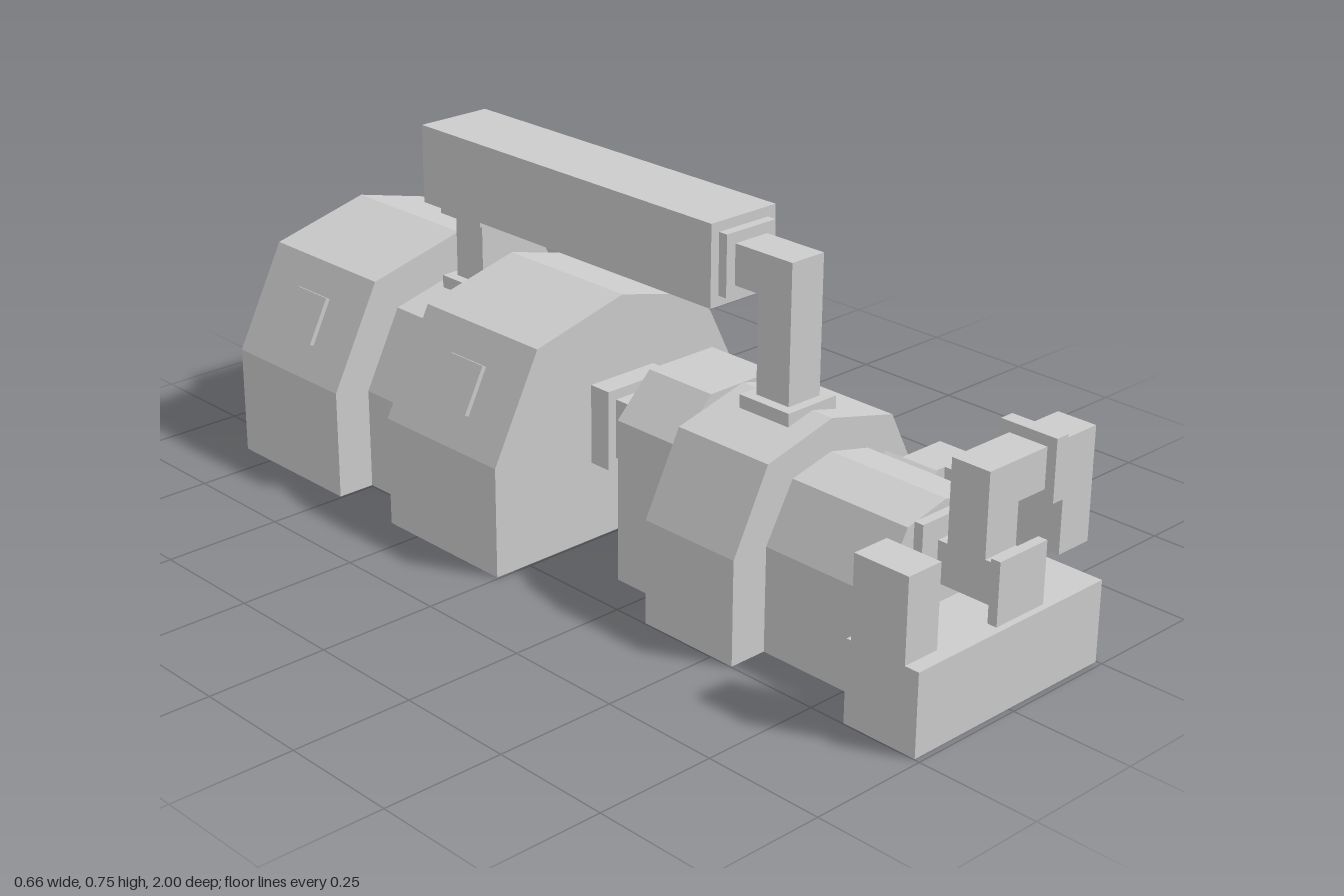
import * as THREE from 'three';

const material = new THREE.MeshStandardMaterial({ color: 0xcccccc, flatShading: true });

export function createModel() {
  const model = new THREE.Group();
  model.name = 'machine';

  function add(name, geometry) {
    const mesh = new THREE.Mesh(geometry, material);
    mesh.name = name;
    model.add(mesh);
    return mesh;
  }

  // Box given by its limits along each axis
  function box(name, [x0, x1], [y0, y1], [z0, z1]) {
    const mesh = add(name, new THREE.BoxGeometry(x1 - x0, y1 - y0, z1 - z0));
    mesh.position.set((x0 + x1) / 2, (y0 + y1) / 2, (z0 + z1) / 2);
    return mesh;
  }

  // Square plate or pipe piece centred on x = 0
  const centred = (name, half, y, z) => box(name, [-half, half], y, z);

  // Housing: mirrored half-profile (from the base up) extruded along z
  function housing(name, half, z0, z1) {
    const left = half.filter(([x]) => x > 0).reverse().map(([x, y]) => [-x, y]);
    const points = [...half, ...left].map(([x, y]) => new THREE.Vector2(x, y));
    const geometry = new THREE.ExtrudeGeometry(new THREE.Shape(points), { depth: z1 - z0, bevelEnabled: false });
    geometry.translate(0, 0, z0);
    return add(name, geometry);
  }

  // Thin hatch lying on the sloped shoulder from a (low) to b (high)
  function hatch(name, a, b, y, z, length, width, side = 1) {
    const x = a[0] + (b[0] - a[0]) * (y - a[1]) / (b[1] - a[1]);
    const mesh = add(name, new THREE.BoxGeometry(0.02, length, width));
    mesh.position.set(side * x, y, z);
    mesh.rotation.z = side * Math.atan2(a[0] - b[0], b[1] - a[1]);
  }

  const large = [[0.33, 0], [0.33, 0.23], [0.22, 0.445], [0, 0.5]];
  const medium = [[0.248, 0], [0.248, 0.213], [0.165, 0.375], [0, 0.416]];
  const small = [[0.165, 0], [0.165, 0.213], [0.1, 0.327], [0, 0.35]];
  const chamfered = [[0.165, 0], [0.165, 0.335], [0.083, 0.416]];

  // Rear body
  housing('rearHousing', large, -0.835, -0.505);
  housing('rearWaist', medium, -0.505, -0.335);
  housing('middleHousing', large, -0.335, -0.005);
  for (const z of [-0.67, -0.17])
    for (const side of [-1, 1])
      hatch('sideHatch', large[1], large[2], 0.338, z, 0.102, 0.1, side);

  // Front body
  housing('frontWaist', chamfered, 0.16, 0.325);
  housing('frontHousing', medium, 0.325, 0.552);
  housing('noseHousing', small, 0.552, 0.825);
  hatch('frontHatch', medium[1], medium[2], 0.274, 0.442, 0.108, 0.145);
  hatch('pipeMount', small[1], small[2], 0.271, 0.65, 0.125, 0.125);

  // Couplings: two plates joined by a narrower neck
  for (const [z0, z1] of [[-1, -0.835], [-0.005, 0.16]]) {
    centred('couplingPlate', 0.083, [0.167, 0.333], [z0, z0 + 0.05]);
    centred('couplingNeck', 0.063, [0.188, 0.312], [z0 + 0.05, z1 - 0.05]);
    centred('couplingPlate', 0.083, [0.167, 0.333], [z1 - 0.05, z1]);
  }

  // Overhead duct and its two risers
  centred('overheadDuct', 0.083, [0.583, 0.747], [-0.51, 0.32]);
  centred('ductEndFlange', 0.063, [0.604, 0.727], [0.32, 0.34]);
  centred('ductElbow', 0.041, [0.624, 0.705], [0.34, 0.482]);
  centred('frontRiser', 0.041, [0.41, 0.63], [0.4, 0.482]);
  centred('rearRiser', 0.041, [0.4, 0.57], [-0.46, -0.378]);
  centred('riserTopFlange', 0.063, [0.562, 0.583], [-0.482, -0.357]);
  for (const z of [0.441, -0.419])
    centred('riserBaseFlange', 0.063, [0.4, 0.427], [z - 0.062, z + 0.062]);

  // Front deck with post and nose plate
  centred('frontDeck', 0.248, [0, 0.166], [0.825, 0.988]);
  box('deckPost', [-0.248, -0.166], [0.166, 0.333], [0.835, 0.957]);
  centred('nosePlate', 0.083, [0.166, 0.333], [0.825, 0.845]);

  // Pipe running from the nose side, up and over to the front outlet
  box('pipeInlet', [0.11, 0.248], [0.23, 0.311], [0.6, 0.682]);
  box('pipeRun', [0.166, 0.248], [0.23, 0.311], [0.6, 0.95]);
  box('pipeRunFlange', [0.145, 0.268], [0.209, 0.332], [0.748, 0.775]);
  box('pipeRise', [0.166, 0.248], [0.23, 0.456], [0.866, 0.95]);
  box('pipeCross', [-0.041, 0.248], [0.375, 0.456], [0.866, 0.95]);
  box('pipeCrossFlange', [0.112, 0.143], [0.354, 0.477], [0.846, 0.97]);
  centred('pipeDrop', 0.041, [0.209, 0.456], [0.866, 0.95]);
  centred('pipeOutlet', 0.041, [0.209, 0.291], [0.845, 0.985]);
  centred('outletFlange', 0.063, [0.188, 0.312], [0.98, 1]);

  return model;
}
